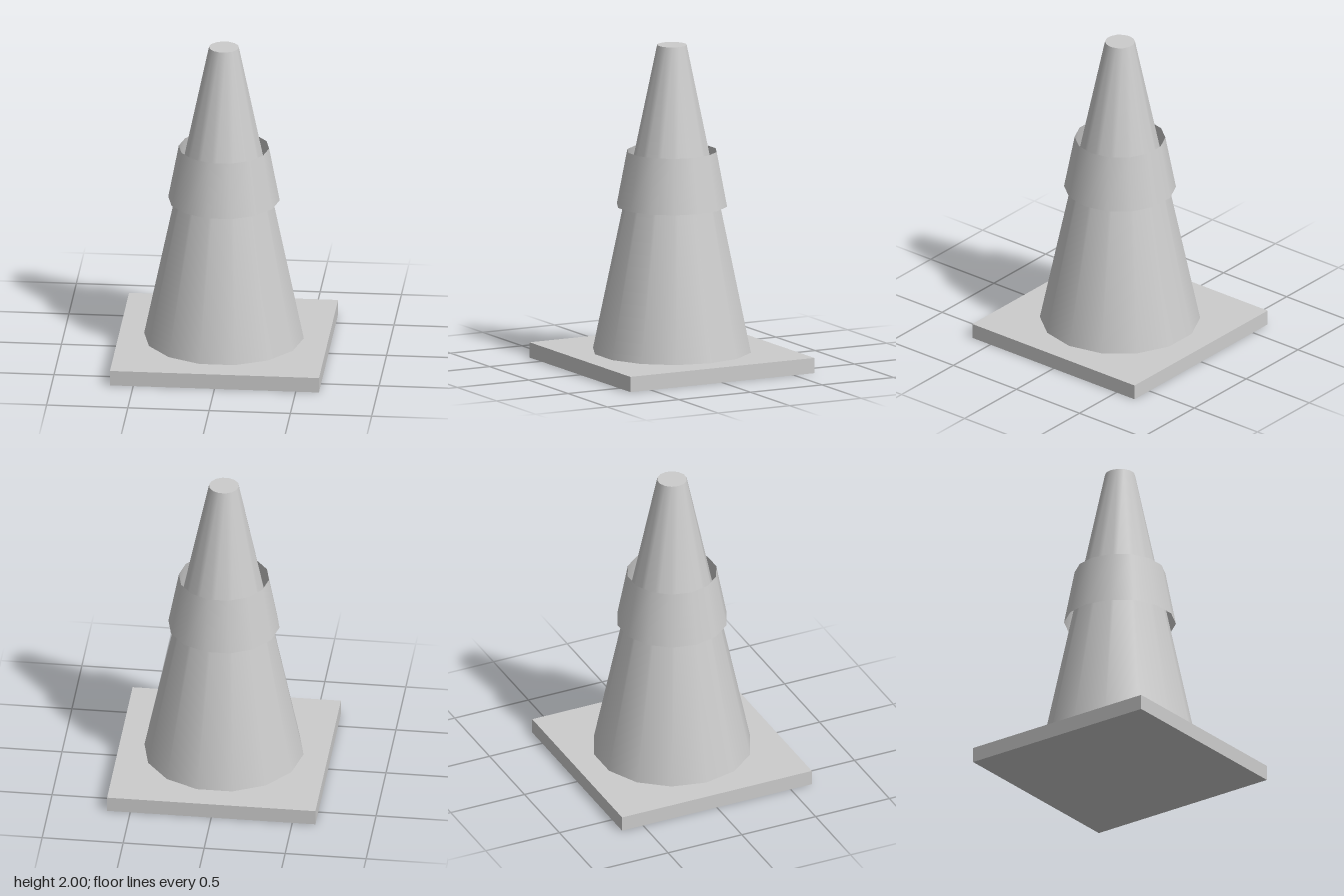
import * as THREE from 'three';

const SIDES = 14;

export function createModel() {
  const model = new THREE.Group();
  const grey = new THREE.MeshStandardMaterial({ color: 0xcccccc });
  grey.name = 'light grey';
  const openGrey = grey.clone();
  openGrey.side = THREE.DoubleSide;

  // Adds a tapered ring of sides between two heights, with corners on the x axis
  function addTaper(name, topRadius, bottomRadius, y0, y1, open, material) {
    const geometry = new THREE.CylinderGeometry(topRadius, bottomRadius, y1 - y0, SIDES, 1, open);
    geometry.rotateY(Math.PI / 2);
    const mesh = new THREE.Mesh(geometry, material);
    mesh.name = name;
    mesh.position.y = (y0 + y1) / 2;
    model.add(mesh);
  }

  // Square foot
  const base = new THREE.Mesh(new THREE.BoxGeometry(1.286, 0.095, 1.286), grey);
  base.name = 'base';
  base.position.y = 0.0475;
  model.add(base);

  // Tall body with a closed top
  addTaper('cone', 0.092, 0.491, 0.095, 2, false, grey);

  // Loose open collar around the body
  addTaper('collar', 0.278, 0.343, 1.0, 1.34, true, openGrey);

  return model;
}
